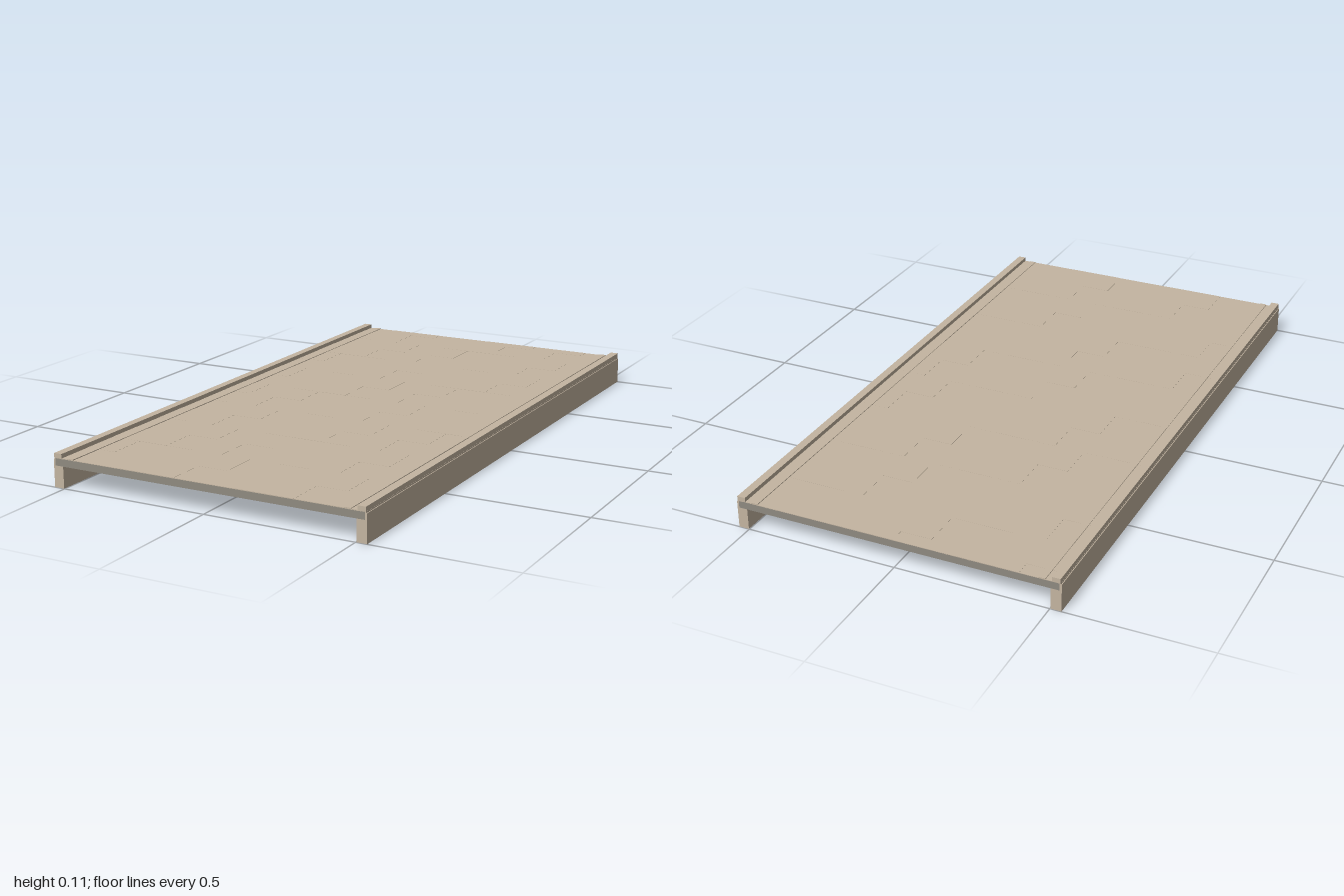
import * as THREE from 'three';

export function createModel() {
  const group = new THREE.Group();
  const sandstone = new THREE.MeshStandardMaterial({ color: 0xc4b5a1 });
  sandstone.name = 'sandstone';
  const concrete = new THREE.MeshStandardMaterial({ color: 0x8f8a80 });
  concrete.name = 'grey concrete';

  // Box given by its lower and upper limits on each axis
  function block(name, material, [x0, x1], [y0, y1], [z0, z1], parent = group) {
    const mesh = new THREE.Mesh(new THREE.BoxGeometry(x1 - x0, y1 - y0, z1 - z0), material);
    mesh.position.set((x0 + x1) / 2, (y0 + y1) / 2, (z0 + z1) / 2);
    mesh.name = name;
    parent.add(mesh);
  }

  // Structural slab
  block('deckSlab', concrete, [-0.529, 0.529], [0.07, 0.0935], [-1, 1]);

  // Edge beams, kerbs and low gutter strips on both sides
  for (const [side, s] of [['left', 1], ['right', -1]]) {
    const span = (a, b) => (s > 0 ? [a, b] : [-b, -a]);
    block(side + 'EdgeBeam', sandstone, span(0.502, 0.536), [0, 0.09], [-0.999, 0.999]);
    block(side + 'Kerb', sandstone, span(0.506, 0.533), [0.0925, 0.109], [-1, 1]);
    block(side + 'KerbBed', sandstone, span(0.506, 0.5335), [0.089, 0.0945], [-0.999, 0.999]);
    block(side + 'GutterStrip', sandstone, span(0.463, 0.486), [0.093, 0.0975], [-0.9995, 0.9995]);
  }

  // Paving in running bond, neighbouring stones differing slightly in height
  const paving = new THREE.Group();
  paving.name = 'paving';
  group.add(paving);
  const half = 0.506, length = 0.2024, course = 0.13;
  for (let row = 0; row * course < 2; row++) {
    const front = 1 - row * course;
    const back = Math.max(-1, front - course);
    const shift = row % 2 ? length / 2 : 0;
    for (let col = 0; col < 6; col++) {
      const x0 = Math.max(-half, -half + col * length - shift);
      const x1 = Math.min(half, -half + (col + 1) * length - shift);
      if (x1 - x0 < 0.01) continue;
      const top = 0.095 + ((row * 2 + col * 3) % 5) * 0.0002;
      block('pavingStone', sandstone, [x0, x1], [0.0925, top], [back, front], paving);
    }
  }
  return group;
}
